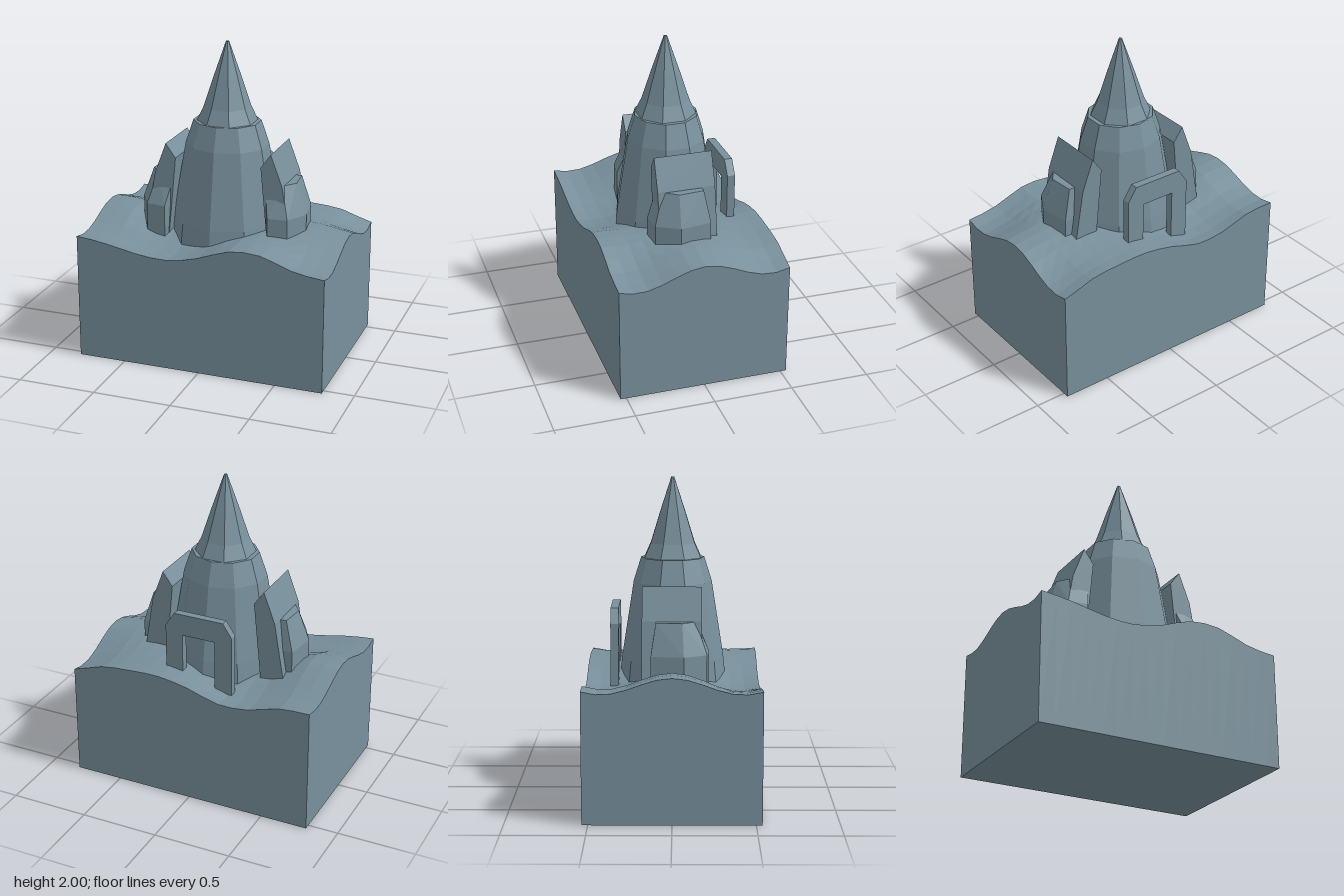
import * as THREE from 'three';
import { ConvexGeometry } from 'three/addons/geometries/ConvexGeometry.js';

const stone = new THREE.MeshStandardMaterial({ color: 0x78909c });
stone.name = 'blue grey stone';

// Mesh with one flat normal per face
function facetedMesh(name, geometry) {
  const flat = geometry.index ? geometry.toNonIndexed() : geometry;
  flat.computeVertexNormals();
  const mesh = new THREE.Mesh(flat, stone);
  mesh.name = name;
  return mesh;
}

// Height curve sampled at even steps from -x to +x
function heightCurve(heights) {
  const last = heights.length - 1;
  const curve = new THREE.SplineCurve(heights.map((h, i) => new THREE.Vector2(i / last, h)));
  return (t) => curve.getPoint(THREE.MathUtils.clamp(t, 0, 1)).y;
}

// Solid block whose top rolls like hills
function createGround() {
  const width = 1.61, depth = 1.075;
  const front = heightCurve([0.81, 0.785, 0.745, 0.73, 0.77, 0.84, 0.84, 0.77, 0.74]);
  const middle = heightCurve([0.89, 0.88, 0.81, 0.8, 0.81, 0.84, 0.865, 0.86, 0.83]);
  const back = heightCurve([0.81, 0.8, 0.74, 0.73, 0.79, 0.825, 0.82, 0.8, 0.735]);
  const geometry = new THREE.BoxGeometry(width, 1, depth, 16, 1, 12);
  const p = geometry.attributes.position;
  for (let i = 0; i < p.count; i++) {
    if (p.getY(i) < 0) { p.setY(i, 0); continue; }
    const t = p.getX(i) / width + 0.5, z = p.getZ(i);
    const edge = THREE.MathUtils.lerp(back(t), front(t), z / depth + 0.5);
    const ridge = (Math.cos(7.5 * z) + 0.62) / 1.62;
    p.setY(i, edge + (middle(t) - edge) * ridge);
  }
  return facetedMesh('ground', geometry);
}

function latheMesh(name, profile, sides, start = 0) {
  const points = profile.map(([r, y]) => new THREE.Vector2(r, y));
  return facetedMesh(name, new THREE.LatheGeometry(points, sides, start));
}

// Leaning slab beside the tower; side is +1 or -1
function createButtress(side) {
  const profile = [[0.28, 1.27], [0.345, 1.36], [0.42, 1.16], [0.49, 0.74], [0.33, 0.74]];
  const points = [];
  for (const z of [-0.185, 0.18]) {
    for (const [x, y] of profile) points.push(new THREE.Vector3(side * x, y, z));
  }
  return facetedMesh('buttress', new ConvexGeometry(points));
}

// Faceted bay on the outside of a slab
function createBay(side) {
  const wide = [[0.33, -0.13], [0.515, -0.13], [0.545, 0.07], [0.465, 0.21], [0.34, 0.225], [0.32, 0.1]];
  const narrow = [[0.31, -0.1], [0.46, -0.1], [0.475, 0.06], [0.41, 0.145], [0.3, 0.145]];
  const points = [];
  for (const [ring, y] of [[wide, 0.74], [wide, 0.96], [narrow, 1.155]]) {
    for (const [x, z] of ring) points.push(new THREE.Vector3(side * x, y, z));
  }
  return facetedMesh('bay', new ConvexGeometry(points));
}

// Free-standing gateway with chamfered top corners
function createGateway() {
  const outline = [
    [-0.225, 0.7], [-0.11, 0.7], [-0.11, 1.06], [0.11, 1.06], [0.11, 0.7],
    [0.225, 0.7], [0.225, 1.11], [0.165, 1.2], [-0.165, 1.2], [-0.225, 1.11],
  ];
  const shape = new THREE.Shape(outline.map(([x, y]) => new THREE.Vector2(x, y)));
  const geometry = new THREE.ExtrudeGeometry(shape, { depth: 0.05, bevelEnabled: false });
  geometry.translate(0, 0, -0.385);
  return facetedMesh('gateway', geometry);
}

export function createModel() {
  const model = new THREE.Group();
  model.name = 'tower on a hill';
  model.add(createGround());

  // Tapering ten-sided tower, slightly wider than deep
  const tower = latheMesh('tower', [[0.335, 0.72], [0.32, 0.87], [0.245, 1.35], [0.198, 1.5], [0, 1.5]], 10);
  tower.geometry.scale(1.08, 1, 1);
  tower.geometry.computeVertexNormals();
  model.add(tower);

  // Flared eight-sided spire
  model.add(latheMesh('spire', [[0.195, 1.49], [0.148, 1.59], [0.086, 1.78], [0.01, 2], [0, 2]], 8, Math.PI / 8));

  for (const side of [-1, 1]) {
    const wing = new THREE.Group();
    wing.name = side > 0 ? 'leftWing' : 'rightWing';
    wing.add(createButtress(side), createBay(side));
    model.add(wing);
  }

  model.add(createGateway());
  return model;
}
